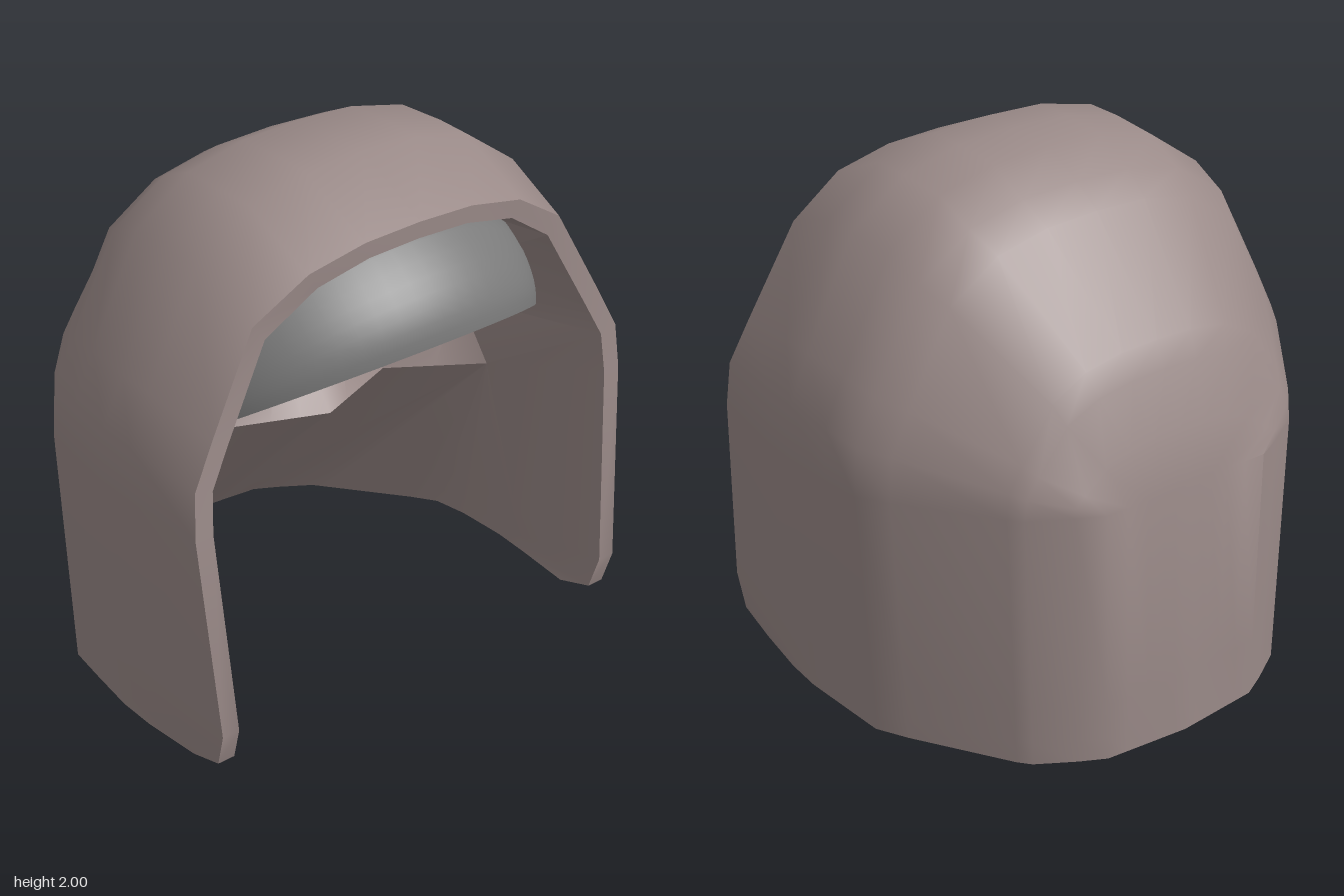
import * as THREE from 'three';
import { toCreasedNormals } from 'three/addons/utils/BufferGeometryUtils.js';

// Skin a surface over rows of points; neighbouring rows have equal length.
function skin(name, rows, color, crease, flip = false, side = THREE.FrontSide) {
  const pos = [];
  const tri = (a, b, c) => {
    const ab = b.clone().sub(a), ac = c.clone().sub(a);
    if (ab.cross(ac).length() < 1e-7) return;
    for (const p of flip ? [a, c, b] : [a, b, c]) pos.push(p.x, p.y, p.z);
  };
  for (let i = 0; i + 1 < rows.length; i++) {
    for (let j = 0; j + 1 < rows[i].length; j++) {
      const a = rows[i][j], b = rows[i + 1][j], c = rows[i + 1][j + 1], d = rows[i][j + 1];
      tri(a, b, d);
      tri(b, c, d);
    }
  }
  const geo = new THREE.BufferGeometry();
  geo.setAttribute('position', new THREE.Float32BufferAttribute(pos, 3));
  const mesh = new THREE.Mesh(toCreasedNormals(geo, crease), new THREE.MeshStandardMaterial({ color, side }));
  mesh.name = name;
  return mesh;
}

const V = (x, y, z) => new THREE.Vector3(x, y, z);
const { lerp, clamp } = THREE.MathUtils;
const mirror = (half) => [...half, ...half.slice(0, -1).reverse().map((p) => V(-p.x, p.y, p.z))];

const SHELL = 0x9a8a88, VISOR = 0x7a7a7a;

// Straight wall heights, then the arch above the shoulder: width, rise
const WALL = [0, 0.09, 0.23, 1];
const ARCH = [[0.985, 0.2], [0.9, 0.38], [0.7, 0.78], [0.478, 0.935], [0.24, 0.99], [0, 1]];
const RIM_FOOT = [0.58, 0.73, 0.77];

// Arch sections from front to back: z, half width, height; then the flat back panel
const BACK_W = 0.35;
const PANEL = [1, 0.75, 0.5, 0.3, 0.15, 0];
const STATIONS = [
  [0.655, 0.945, 1.86], [0.35, 0.978, 2], [0.2, 0.985, 2], [0, 0.97, 1.99], [-0.16, 0.95, 1.91],
  [-0.27, 0.88, 1.84], [-0.6, 0.635, 1.48], [-0.645, 0.595, 1.39], [-0.73, 0.45, 1.18],
  ...PANEL.map((u) => [-0.78, BACK_W * u, 1]),
];

// Lower lip and back sill of the inside ledge: centre, middle, corner
const LEDGE = [V(0, 0.905, 0.19), V(0.35, 0.91, 0.06), V(0.67, 0.92, 0.28)];
const SILL = [V(0, 1.13, 0), V(0.33, 1.14, -0.02), V(0.635, 1.16, 0.15)];
const along = ([a, b, c], u) => (u < 0.5 ? a.clone().lerp(b, 2 * u) : b.clone().lerp(c, 2 * u - 1));

const baseY = (z) => 0.035 * clamp((z + 0.6) / 0.6, 0, 1);
const rimZ = (y) => Math.max(0.79 - 0.1 * y, 0.62 + 0.17 * (y - 1.64));

// One half of an outer arch, from the hem to the crown
function outerHalf([z, w, h], i) {
  const pts = [];
  WALL.forEach((y) => pts.push([w, Math.max(y, baseY(z))]));
  ARCH.forEach(([px, s], k) => pts.push([w * (h > 1 ? px : PANEL[k]), 1 + (h - 1) * s]));
  return pts.map(([x, y], j) => {
    const low = Math.max(0, 1 - y);
    const bulge = 0.03 * low * clamp(1 - w / BACK_W, 0, 1);
    const pz = i === 0 ? RIM_FOOT[j] ?? rimZ(y) : z - bulge;
    return V(x * (1 - 0.05 * low), y, pz);
  });
}

// One half of the lining: the wall leans in to a ledge, above it is a hollow
function innerHalf(station, i) {
  const outer = outerHalf(station, i);
  if (i === 0) {
    return outer.map((p) => V(p.x * 0.925, p.y - 0.06 * clamp((p.y - 1) / 0.6, 0, 1), p.z));
  }
  const u = Math.min(1, station[1] / BACK_W);
  const ledge = along(LEDGE, u), sill = along(SILL, u);
  const { x, y, z } = outer[0];
  const foot = V(x * 0.91, y, z < 0 ? z * 0.9 : z);
  const pts = WALL.map((t) => foot.clone().lerp(ledge, t));
  ARCH.forEach(([px, s]) => {
    const t = (s - ARCH[0][1]) / (1 - ARCH[0][1]);
    pts.push(V(sill.x * px / ARCH[0][0], lerp(sill.y, 1.78, t), lerp(sill.z, 0, t)));
  });
  return pts;
}

// Curved visor band wrapping back at both ends, with a thin closed section
function visor() {
  const rows = [], N = 28, M = 8;
  for (let i = 0; i <= N; i++) {
    const a = lerp(-1.45, 1.45, i / N), s = Math.sin(a), c = Math.cos(a);
    const top = V(0.78 * s, 1.1 + 0.7 * c ** 0.85, 0.25 + 0.3 * c);
    const bottom = V(0.76 * s, 1.1 + 0.375 * c, 0.26 + 0.55 * c);
    const front = [], back = [];
    for (let k = 0; k <= M; k++) {
      const v = k / M, p = bottom.clone().lerp(top, v);
      p.z += 0.26 * v * (1 - v) * c;
      front.push(p);
      back.unshift(V(p.x * 0.96, p.y - 0.035 * (1 - v), p.z - 0.05));
    }
    rows.push([...front, ...back, front[0].clone()]);
  }
  // close both ends
  const cap = (row) => row.map(() => row.reduce((s, p) => s.add(p), V(0, 0, 0)).divideScalar(row.length));
  return skin('visor', [cap(rows[0]), ...rows, cap(rows[N])], VISOR, 0.9, false, THREE.DoubleSide);
}

export function createModel() {
  const group = new THREE.Group();
  group.name = 'hoodedHelmet';
  const outer = STATIONS.map((s, i) => mirror(outerHalf(s, i)));
  const inner = STATIONS.map((s, i) => mirror(innerHalf(s, i)));
  const hemLoop = (rows) => [
    ...rows.map((r) => r[0]),
    ...rows.slice(0, -1).reverse().map((r) => r[r.length - 1]),
  ];
  group.add(
    skin('outerShell', outer, SHELL, 1),
    skin('innerLining', inner, SHELL, 0.6, true),
    skin('frontRim', [outer[0], inner[0]], SHELL, 0.4, true),
    skin('bottomHem', [hemLoop(outer), hemLoop(inner)], SHELL, 0.4),
    visor(),
  );
  return group;
}
